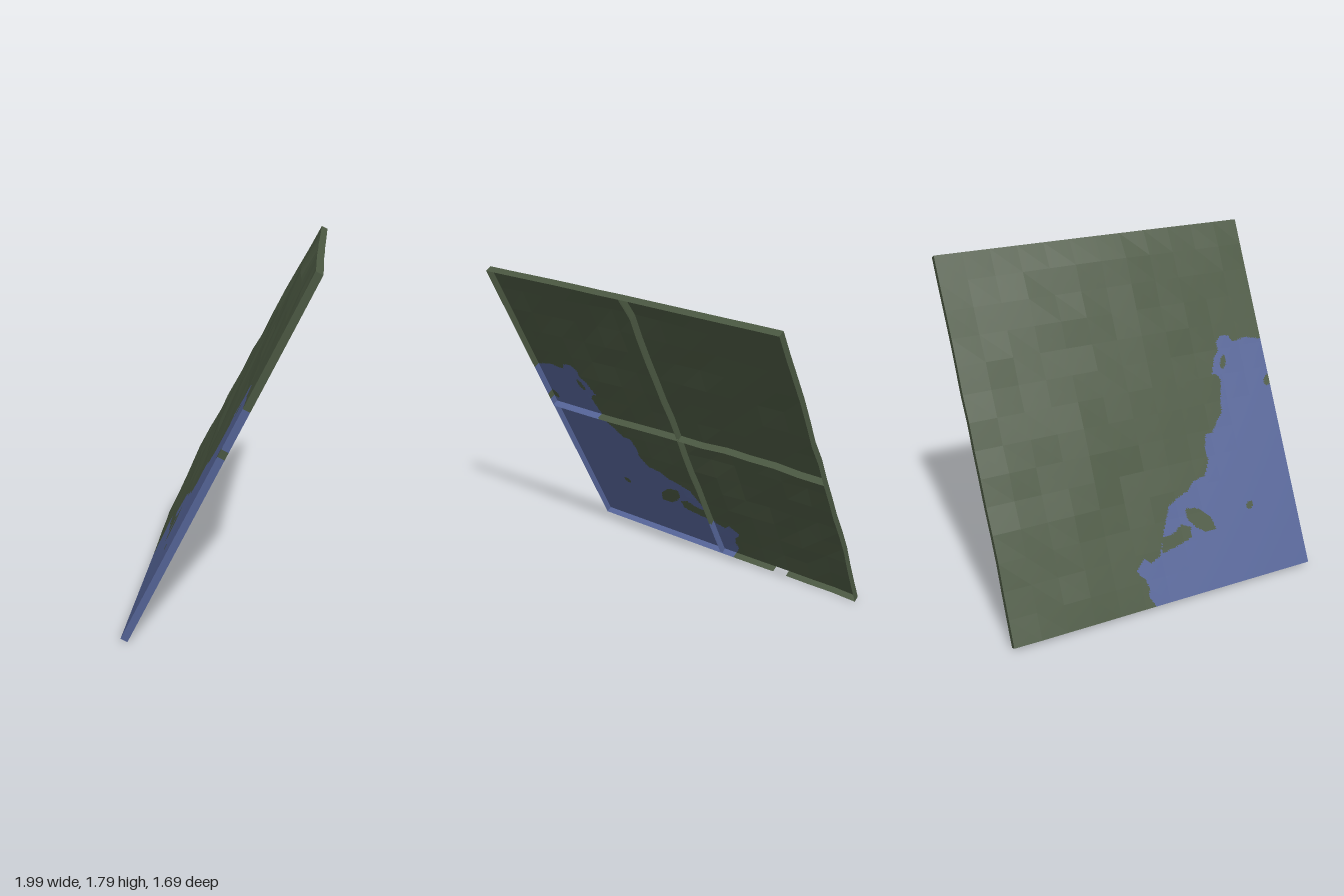
import * as THREE from 'three';

// Corners of the tilted sheet; a runs along the low edge, b runs up the slope
const A = new THREE.Vector3(-1, 0.018, 0.05), B = new THREE.Vector3(0.53, 0.018, -0.845);
const C = new THREE.Vector3(0.975, 1.785, -0.06), D = new THREE.Vector3(-0.545, 1.785, 0.815);
const UP = new THREE.Vector3().subVectors(D, A).cross(new THREE.Vector3().subVectors(B, A)).normalize();
const NA = 12, NB = 14, SUB = 14, DEPTH = 0.037;

// Shoreline and islets as x, y outlines
const SHORE = [[-1.2, 1.17], [-0.70, 1.17], [-0.62, 1.19], [-0.54, 1.18], [-0.52, 1.21], [-0.47, 1.22], [-0.45, 1.19],
  [-0.46, 1.15], [-0.44, 1.12], [-0.43, 1.04], [-0.46, 1.03], [-0.48, 1.0], [-0.48, 0.9], [-0.49, 0.84], [-0.46, 0.8],
  [-0.44, 0.76], [-0.4, 0.76], [-0.4, 0.69], [-0.42, 0.63], [-0.4, 0.56], [-0.34, 0.55], [-0.31, 0.51], [-0.26, 0.49],
  [-0.21, 0.46], [-0.19, 0.37], [-0.18, 0.3], [-0.17, 0.24], [-0.12, 0.22], [-0.09, 0.25], [-0.05, 0.2], [-0.1, 0.15],
  [-0.12, 0.11], [-0.12, 0.07], [-0.16, 0.02], [-0.16, -0.1], [-1.2, -0.1]];
const oval = (x, y, rx, ry) => Array.from({ length: 10 }, (_, i) =>
  [x + rx * Math.cos(i * Math.PI / 5), y + ry * Math.sin(i * Math.PI / 5)]);
const ISLETS = [
  [[-0.47, 0.3], [-0.44, 0.36], [-0.36, 0.42], [-0.3, 0.43], [-0.31, 0.38], [-0.36, 0.33], [-0.41, 0.3]],
  [[-0.34, 0.29], [-0.33, 0.34], [-0.28, 0.36], [-0.24, 0.33], [-0.18, 0.32], [-0.18, 0.25], [-0.28, 0.27]],
  oval(-0.655, 0.37, 0.02, 0.02), oval(-0.49, 1.09, 0.016, 0.035), oval(-0.745, 0.96, 0.02, 0.028),
];

function inside(poly, x, y) {
  let hit = false;
  for (let i = 0, j = poly.length - 1; i < poly.length; j = i++) {
    const [xi, yi] = poly[i], [xj, yj] = poly[j];
    if ((yi > y) !== (yj > y) && x < (xj - xi) * (y - yi) / (yj - yi) + xi) hit = !hit;
  }
  return hit;
}

const onPlane = (a, b) => A.clone().lerp(B, a).lerp(D.clone().lerp(C, a), b);

function isWater(a, b) {
  const p = onPlane(a, b);
  return inside(SHORE, p.x, p.y) && !ISLETS.some(s => inside(s, p.x, p.y));
}

// Seeded relief on a coarse lattice: flat at sea, low faceted hills on land
function lattice(i, j) {
  const a = i / NA, b = j / NB;
  const r = Math.sin(i * 127.1 + j * 311.7) * 43758.5453;
  const ramp = Math.min(1, Math.max(0, (a / 0.55 + b / 0.72 - 1) * 1.3));
  const rim = (i === 0 || j === NB) ? 0.2 : 1;
  const corner = Math.min(1, 4 * Math.hypot(1 - a, b)) * Math.min(1, 4 * Math.hypot(1 - a, 1 - b));
  return ramp * rim * corner * (0.01 + 0.013 * (r - Math.floor(r)) + 0.005 * Math.sin(7 * a + 5 * b));
}

function height(a, b) {
  const s = a * NA, t = b * NB;
  const i = Math.min(NA - 1, Math.floor(s + 1e-7)), j = Math.min(NB - 1, Math.floor(t + 1e-7));
  const f = s - i, g = t - j;
  const h0 = lattice(i, j), h1 = lattice(i + 1, j + 1);
  // Two facets in each cell, split along the diagonal
  if (f >= g) { const m = lattice(i + 1, j); return h0 + f * (m - h0) + g * (h1 - m); }
  const m = lattice(i, j + 1);
  return h0 + g * (m - h0) + f * (h1 - m);
}

const point = (a, b, drop = 0) => onPlane(a, b).addScaledVector(UP, height(a, b) - drop);

function makeMesh(name, points, material) {
  const geometry = new THREE.BufferGeometry().setFromPoints(points);
  geometry.computeVertexNormals();
  const mesh = new THREE.Mesh(geometry, material);
  mesh.name = name;
  return mesh;
}

export function createModel() {
  const group = new THREE.Group();
  group.name = 'terrainSheet';
  const landGreen = new THREE.MeshStandardMaterial({ color: 0x4a5741, side: THREE.DoubleSide });
  landGreen.name = 'landGreen';
  const waterBlue = new THREE.MeshStandardMaterial({ color: 0x546396, side: THREE.DoubleSide });
  waterBlue.name = 'waterBlue';

  // Surface, sorted into land and water triangle by triangle
  const land = [], water = [];
  const na = NA * SUB, nb = NB * SUB;
  const grid = [];
  for (let j = 0; j <= nb; j++) for (let i = 0; i <= na; i++) grid.push(point(i / na, j / nb));
  const at = (i, j) => grid[j * (na + 1) + i];
  for (let j = 0; j < nb; j++) {
    for (let i = 0; i < na; i++) {
      const lower = isWater((i + 0.67) / na, (j + 0.33) / nb) ? water : land;
      lower.push(at(i, j), at(i + 1, j + 1), at(i + 1, j));
      const upper = isWater((i + 0.33) / na, (j + 0.67) / nb) ? water : land;
      upper.push(at(i, j), at(i, j + 1), at(i + 1, j + 1));
    }
  }

  // Skirts under the edges of the four tiles
  const landSkirt = [], waterSkirt = [];
  function skirt(along, fixed, splay) {
    const steps = along === 'a' ? na : nb;
    const side = new THREE.Vector3().subVectors(along === 'a' ? D : B, A).normalize().multiplyScalar(splay);
    const uv = t => (along === 'a' ? [t, fixed] : [fixed, t]);
    for (let k = 0; k < steps; k++) {
      const t0 = k / steps, t1 = (k + 1) / steps, mid = (t0 + t1) / 2;
      // Break in the low edge
      if (along === 'a' && fixed === 0 && mid > 0.7 && mid < 0.75) continue;
      const p = point(...uv(t0)), q = point(...uv(t1));
      const r = point(...uv(t1), DEPTH).add(side), s = point(...uv(t0), DEPTH).add(side);
      const [a, b] = uv(mid);
      const nudge = v => Math.min(0.999, Math.max(0.001, v));
      const list = isWater(nudge(a), nudge(b)) ? waterSkirt : landSkirt;
      // Outward faces on the near and far edges
      if ((along === 'a') === (fixed === 1 || splay < 0)) list.push(p, r, q, p, s, r);
      else list.push(p, q, r, p, r, s);
    }
  }
  for (const along of ['a', 'b']) {
    skirt(along, 0, 0);
    skirt(along, 1, 0);
    skirt(along, 0.5, 0.006);
    skirt(along, 0.5, -0.006);
  }

  group.add(
    makeMesh('landSurface', land, landGreen), makeMesh('waterSurface', water, waterBlue),
    makeMesh('landSkirt', landSkirt, landGreen), makeMesh('waterSkirt', waterSkirt, waterBlue),
  );
  return group;
}
